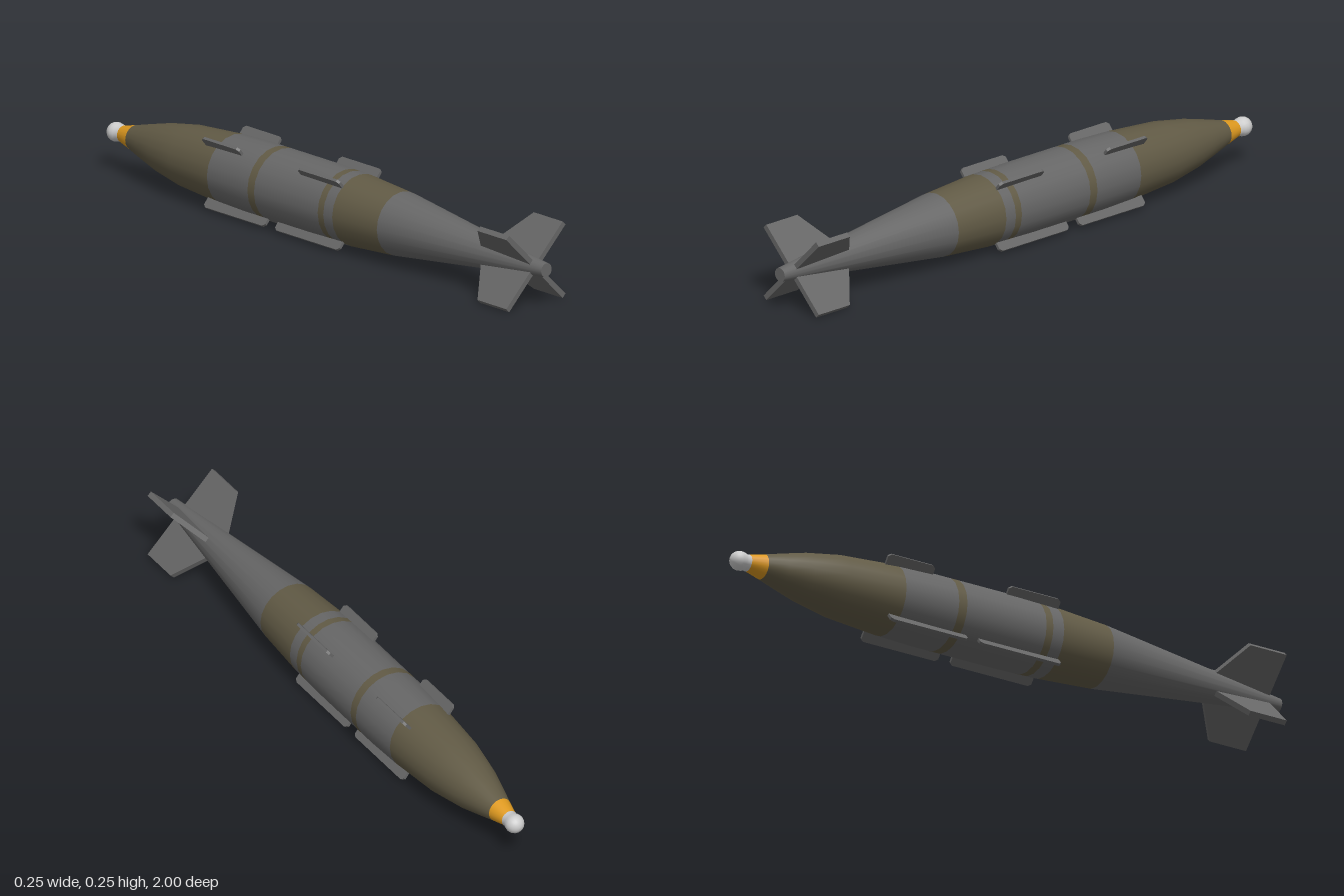
import * as THREE from 'three';

const SIDES = 20;
const grey = new THREE.MeshStandardMaterial({ color: 0x666666 });
const olive = new THREE.MeshStandardMaterial({ color: 0x615a45 });
const orange = new THREE.MeshStandardMaterial({ color: 0xdf9a20 });
const pale = new THREE.MeshStandardMaterial({ color: 0xcccccc });

// Hull outline as [z, radius], nose to tail
const HULL = [
  [-0.94, 0.026], [-0.885, 0.04], [-0.82, 0.058], [-0.74, 0.079], [-0.62, 0.1], [-0.43, 0.114],
  [-0.3, 0.118], [0, 0.118], [0.145, 0.115], [0.335, 0.102], [1, 0.022],
];

function radiusAt(z) {
  const i = Math.max(1, HULL.findIndex((p) => p[0] >= z));
  const [a, b] = [HULL[i - 1], HULL[i]];
  return THREE.MathUtils.mapLinear(z, a[0], b[0], a[1], b[1]);
}

// Turned part along z
function turned(name, points, material) {
  const geometry = new THREE.LatheGeometry(points.map(([z, r]) => new THREE.Vector2(r, z)), SIDES);
  geometry.rotateX(Math.PI / 2);
  const mesh = new THREE.Mesh(geometry, material);
  mesh.name = name;
  return mesh;
}

// Flat plate from [radius, z] corners, standing out from the axis at an angle
function plate(name, corners, thickness, angle) {
  const shape = new THREE.Shape(corners.map(([r, z]) => new THREE.Vector2(r, z)));
  const geometry = new THREE.ExtrudeGeometry(shape, { depth: thickness, bevelEnabled: false });
  geometry.translate(0, 0, -thickness / 2);
  geometry.rotateX(Math.PI / 2);
  const mesh = new THREE.Mesh(geometry, grey);
  mesh.name = name;
  mesh.rotation.z = angle;
  return mesh;
}

export function createModel() {
  const model = new THREE.Group();
  model.name = 'finnedBody';
  const body = new THREE.Group();
  body.name = 'body';
  body.position.y = 0.124;
  model.add(body);

  // Painted hull sections: name, start, end, colour
  const sections = [
    ['noseCollar', -0.94, -0.885, orange],
    ['noseSection', -0.885, -0.43, olive],
    ['frontJacket', -0.43, -0.24, grey],
    ['frontBand', -0.24, -0.21, olive],
    ['middleJacket', -0.21, 0.08, grey],
    ['rearBand', 0.08, 0.105, olive],
    ['rearJacket', 0.105, 0.145, grey],
    ['rearSection', 0.145, 0.335, olive],
    ['tailCone', 0.335, 1, grey],
  ];
  for (const [name, start, end, material] of sections) {
    const inner = HULL.filter(([z]) => z > start && z < end);
    body.add(turned(name, [[start, radiusAt(start)], ...inner, [end, radiusAt(end)]], material));
  }

  // Flat tail end
  const cap = new THREE.Mesh(new THREE.CircleGeometry(0.022, SIDES), grey);
  cap.name = 'tailCap';
  cap.position.z = 1;
  body.add(cap);

  // Rounded nose tip on a slightly narrower neck
  const tip = [];
  for (let i = 0; i <= 8; i++) {
    const a = (i / 8) * Math.PI * 0.5;
    tip.push([-0.968 - 0.032 * Math.cos(a), 0.031 * Math.sin(a)]);
  }
  tip.push([-0.957, 0.029], [-0.948, 0.026], [-0.94, 0.027], [-0.935, 0.026]);
  body.add(turned('noseTip', tip, pale));

  // Four tail fins in an X
  const fin = [[0.01, 0.745], [0.05, 0.745], [0.166, 0.82], [0.166, 0.952], [0.01, 0.952]];
  for (let i = 0; i < 4; i++) {
    body.add(plate('tailFin', fin, 0.017, Math.PI / 4 + (i * Math.PI) / 2));
  }

  // Thin strakes: short pairs above, long pairs below, mirrored left and right
  const tilt = THREE.MathUtils.degToRad(51);
  const strakes = [
    ['upperStrake', -0.48, -0.31, tilt],
    ['upperStrake', -0.04, 0.148, tilt],
    ['lowerStrake', -0.47, -0.19, -tilt],
    ['lowerStrake', -0.145, 0.15, -tilt],
  ];
  for (const [name, start, end, angle] of strakes) {
    const corners = [[0.1, start], [0.136, start], [0.144, start + 0.01], [0.144, end - 0.01], [0.136, end], [0.1, end]];
    body.add(plate(name, corners, 0.009, angle));
    body.add(plate(name, corners, 0.009, Math.PI - angle));
  }
  return model;
}
